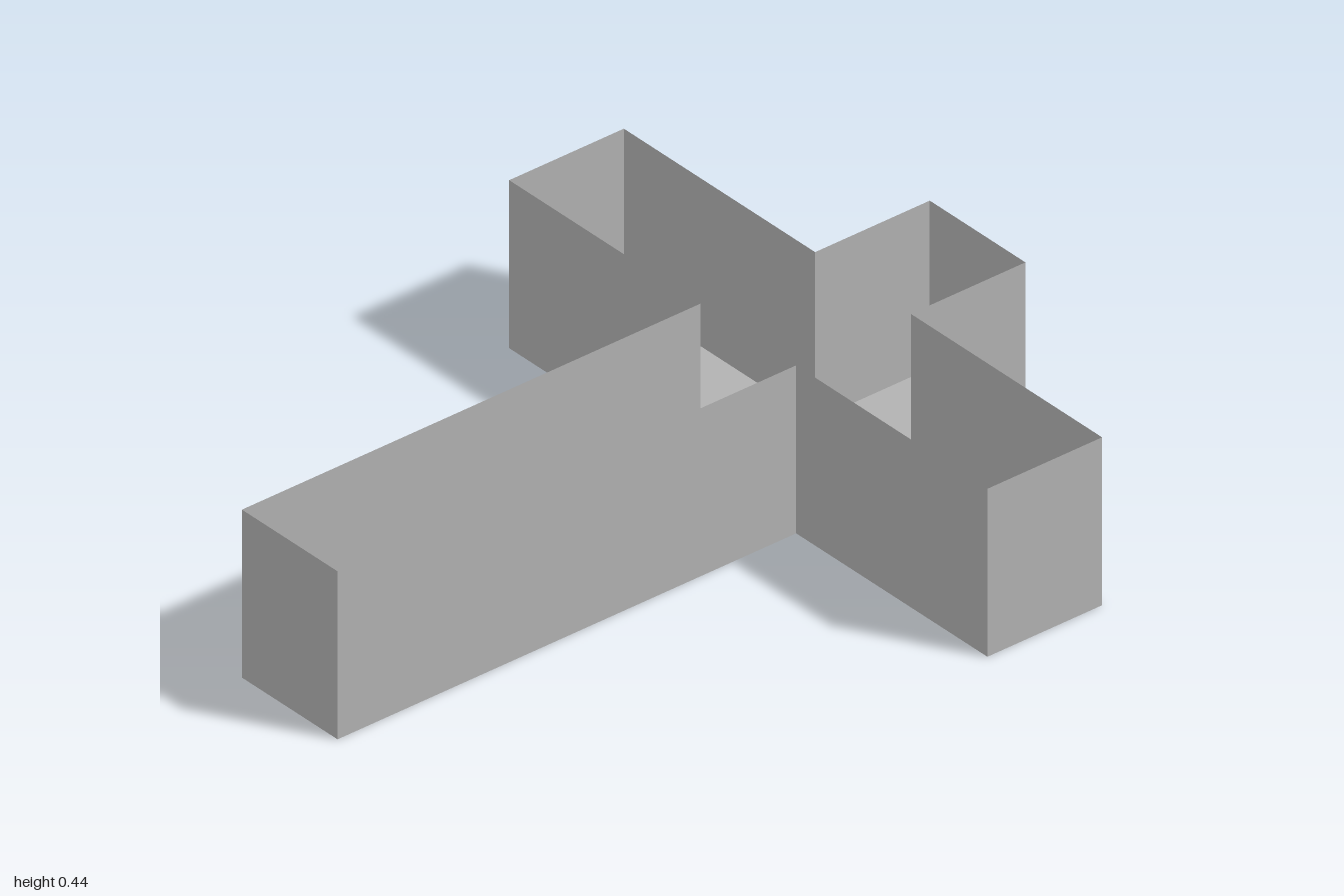
import * as THREE from 'three';

const HEIGHT = 0.445;
const HALF = 0.1667; // half the channel width
const ARM = 0.8333; // reach of the side arms
const CROSS = [0.3333, 0.6667]; // x range of the side arms

export function createModel() {
  const model = new THREE.Group();
  model.name = 'crossTray';
  const grey = new THREE.MeshStandardMaterial({ color: 0xb2b2b2, side: THREE.DoubleSide });
  grey.name = 'grey';

  // Cross outline as [x, z]; the front half is mirrored to the back
  const front = [
    [-1, HALF], [CROSS[0], HALF], [CROSS[0], ARM],
    [CROSS[1], ARM], [CROSS[1], HALF], [1, HALF],
  ];
  const back = front.map(([x, z]) => [x, -z]).reverse();
  const outline = [...front, ...back].map(([x, z]) => new THREE.Vector2(x, z));

  // Floor sheet
  const floorGeometry = new THREE.ShapeGeometry(new THREE.Shape(outline));
  floorGeometry.rotateX(Math.PI / 2);
  const floor = new THREE.Mesh(floorGeometry, grey);
  floor.name = 'floor';
  model.add(floor);

  // One thin upright wall along each outline edge, facing outward
  const walls = new THREE.Group();
  walls.name = 'walls';
  outline.forEach((a, i) => {
    const b = outline[(i + 1) % outline.length];
    const wall = new THREE.Mesh(new THREE.PlaneGeometry(a.distanceTo(b), HEIGHT), grey);
    wall.name = `wall${i + 1}`;
    wall.position.set((a.x + b.x) / 2, HEIGHT / 2, (a.y + b.y) / 2);
    wall.rotation.y = Math.atan2(a.y - b.y, b.x - a.x);
    walls.add(wall);
  });
  model.add(walls);

  return model;
}
